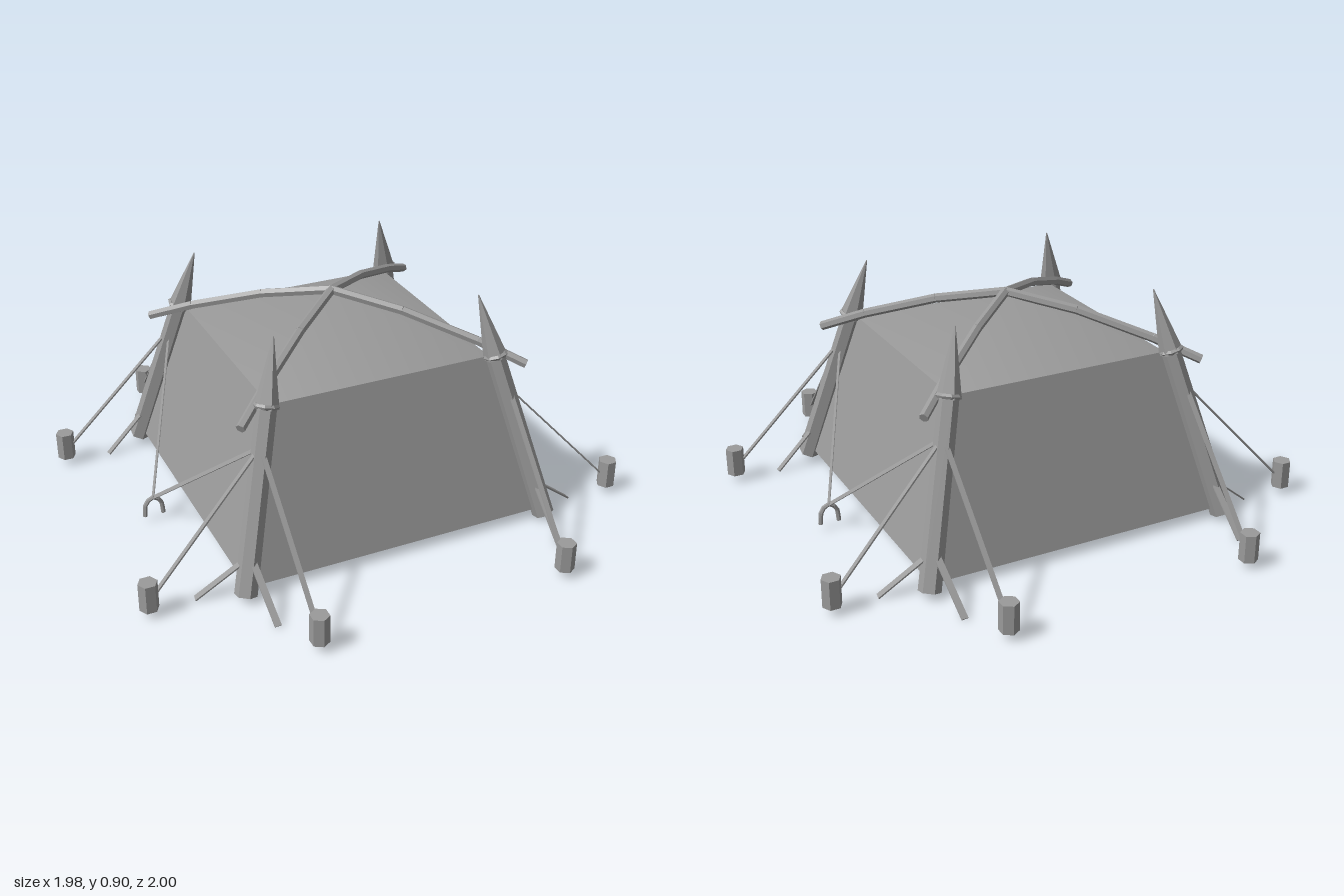
import * as THREE from 'three';
import { mergeVertices } from 'three/addons/utils/BufferGeometryUtils.js';

const V = (x, y, z) => new THREE.Vector3(x, y, z);

export function createModel() {
  const model = new THREE.Group();
  const color = 0x9a9a9a;
  const solid = new THREE.MeshStandardMaterial({ color, flatShading: true });
  const cloth = new THREE.MeshStandardMaterial({ color, flatShading: true, side: THREE.DoubleSide });
  const softCloth = new THREE.MeshStandardMaterial({ color, side: THREE.DoubleSide });

  const add = (name, geometry, parent = model, material = solid) => {
    const mesh = new THREE.Mesh(geometry, material);
    mesh.name = name;
    parent.add(mesh);
    return mesh;
  };

  // Tapered round bar from a to b
  const bar = (name, a, b, ra, rb, sides, parent) => {
    const d = b.clone().sub(a);
    const mesh = add(name, new THREE.CylinderGeometry(rb, ra, d.length(), sides), parent);
    mesh.position.copy(a).lerp(b, 0.5);
    mesh.quaternion.setFromUnitVectors(V(0, 1, 0), d.normalize());
  };

  // Flat strap from a to b, its width lying along the hint direction
  const strap = (name, a, b, width, thick, hint, parent) => {
    const d = b.clone().sub(a);
    const mesh = add(name, new THREE.BoxGeometry(width, thick, d.length()), parent);
    const dir = d.normalize();
    const up = dir.clone().cross(hint).normalize();
    const side = up.clone().cross(dir);
    mesh.quaternion.setFromRotationMatrix(new THREE.Matrix4().makeBasis(side, up, dir));
    mesh.position.copy(a).lerp(b, 0.5);
  };

  // Canvas walls, open below
  const wallTop = 0.44 * Math.SQRT2, wallBase = 0.605 * Math.SQRT2;
  add('walls', new THREE.CylinderGeometry(wallTop, wallBase, 0.62, 4, 1, true, Math.PI / 4), model, cloth)
    .position.y = 0.35;

  // Pyramid roof with softly blended faces
  const cone = new THREE.ConeGeometry(wallTop, 0.16, 4, 1, true, Math.PI / 4);
  cone.deleteAttribute('uv');
  cone.deleteAttribute('normal');
  const roof = mergeVertices(cone);
  roof.computeVertexNormals();
  add('roof', roof, model, softCloth).position.y = 0.74;

  // Two bent roof poles crossing at the peak, in straight lengths
  for (const s of [1, -1]) {
    const pole = new THREE.Group();
    pole.name = 'roofPole';
    model.add(pole);
    const points = [[-0.57, 0.625], [-0.43, 0.695], [-0.21, 0.782], [0, 0.832], [0.21, 0.782], [0.43, 0.695], [0.57, 0.625]]
      .map(([x, y]) => V(x, y, s * x * 0.87));
    for (let i = 1; i < points.length; i++) bar('poleLength', points[i - 1], points[i], 0.018, 0.018, 6, pole);
  }

  const alongX = V(1, 0, 0), alongZ = V(0, 0, 1);
  for (const sx of [1, -1]) {
    for (const sz of [1, -1]) {
      const P = (x, y, z) => V(sx * x, y, sz * z);
      const corner = new THREE.Group();
      corner.name = 'corner';
      model.add(corner);

      // Leaning post with a spike and a rope binding
      bar('post', P(0.618, 0.022, 0.618), P(0.455, 0.67, 0.455), 0.042, 0.037, 6, corner);
      bar('spike', P(0.458, 0.66, 0.458), P(0.403, 0.9, 0.403), 0.046, 0.002, 6, corner);
      const binding = add('binding', new THREE.TorusGeometry(0.038, 0.01, 5, 8), corner);
      binding.position.copy(P(0.458, 0.67, 0.458));
      binding.quaternion.setFromUnitVectors(alongZ, P(-0.16, 0.65, -0.16).normalize());

      // Ground weights and the guy ropes that lead to them
      for (const [x, z] of [[0.952, 0.555], [0.487, 0.963]]) {
        const weight = add('weight', new THREE.CylinderGeometry(0.036, 0.036, 0.11, 6, 1, false,
          x > z ? Math.PI / 6 : 0), corner);
        weight.position.copy(P(x, 0.085, z));
      }
      strap('guyRope', P(0.5, 0.54, 0.5), P(0.93, 0.08, 0.552), 0.018, 0.006, alongZ, corner);
      strap('guyRope', P(0.5, 0.54, 0.5), P(0.487, 0.08, 0.94), 0.018, 0.006, alongX, corner);

      // Short braces at the foot of the post
      strap('footBrace', P(0.6, 0.15, 0.585), P(0.78, 0.005, 0.54), 0.025, 0.006, alongZ, corner);
      strap('footBrace', P(0.585, 0.16, 0.6), P(0.572, 0.005, 0.805), 0.025, 0.006, alongX, corner);

      // Side rope down to the ground peg
      strap('sideRope', P(0.5, 0.53, 0.49), P(0.755, 0.1, 0), 0.016, 0.003, alongZ, corner);
    }

    // Arched ground peg on each side
    const arch = new THREE.CatmullRomCurve3([
      [-0.037, 0.025], [-0.029, 0.08], [0, 0.102], [0.029, 0.08], [0.037, 0.025],
    ].map(([x, y]) => V(sx * 0.755 + x, y, 0)));
    add('groundPeg', new THREE.TubeGeometry(arch, 8, 0.009, 6), model, cloth);
  }

  return model;
}
